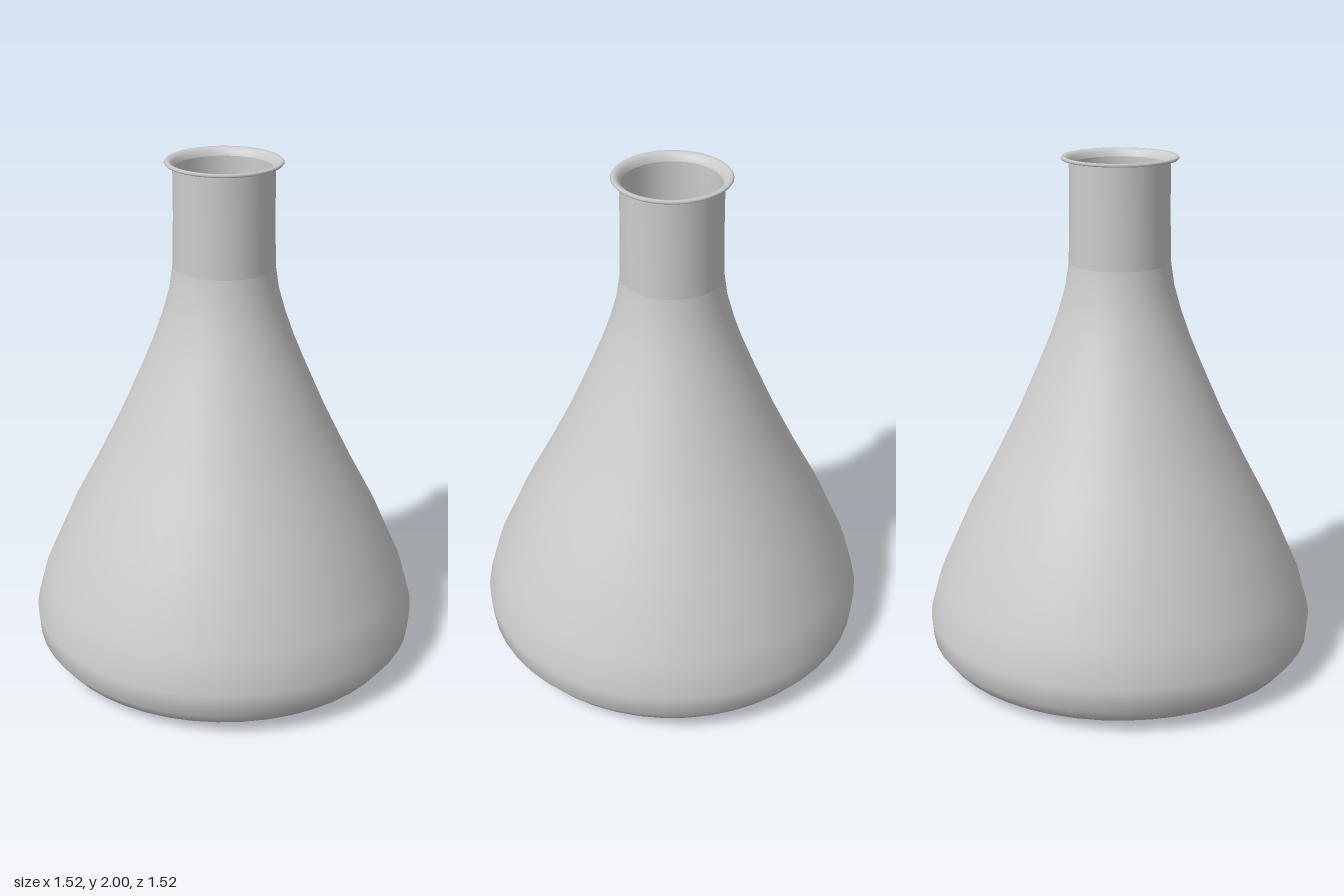
import * as THREE from 'three';

const SEGMENTS = 48;

// Revolves a [radius, height] profile; rising profiles face outwards.
function turned(name, profile, material) {
  const points = profile.map(([r, y]) => new THREE.Vector2(r, y));
  const mesh = new THREE.Mesh(new THREE.LatheGeometry(points, SEGMENTS), material);
  mesh.name = name;
  return mesh;
}

export function createModel() {
  const flask = new THREE.Group();
  flask.name = 'conicalFlask';
  const material = new THREE.MeshStandardMaterial({ color: 0xcccccc });

  // Flat base, rounded heel, cone and shoulder
  const body = [
    [0, 0], [0.38, 0.003], [0.62, 0.02], [0.71, 0.045], [0.753, 0.1], [0.761, 0.19],
    [0.72, 0.34], [0.605, 0.6], [0.5, 0.8], [0.402, 1.0], [0.315, 1.2],
    [0.27, 1.31], [0.235, 1.41], [0.207, 1.51], [0.194, 1.6],
  ];
  flask.add(turned('body', body, material));

  // Straight neck
  flask.add(turned('neck', [[0.194, 1.6], [0.19, 1.8], [0.19, 1.985]], material));

  // Thin flared lip, rolling over into the mouth
  const lip = [
    [0.19, 1.985], [0.216, 1.987], [0.221, 1.993], [0.216, 2.0],
    [0.203, 1.998], [0.19, 1.988], [0.183, 1.97],
  ];
  flask.add(turned('lip', lip, material));

  // Inner wall, a thin offset of the outside running down to the floor
  const wall = 0.008;
  const inside = body.slice(1).reverse().map(([r, y]) => [r - wall, y + (y < 0.1 ? wall : 0)]);
  flask.add(turned('innerWall', [[0.183, 1.97], [0.183, 1.8], ...inside, [0, wall]], material));

  return flask;
}
